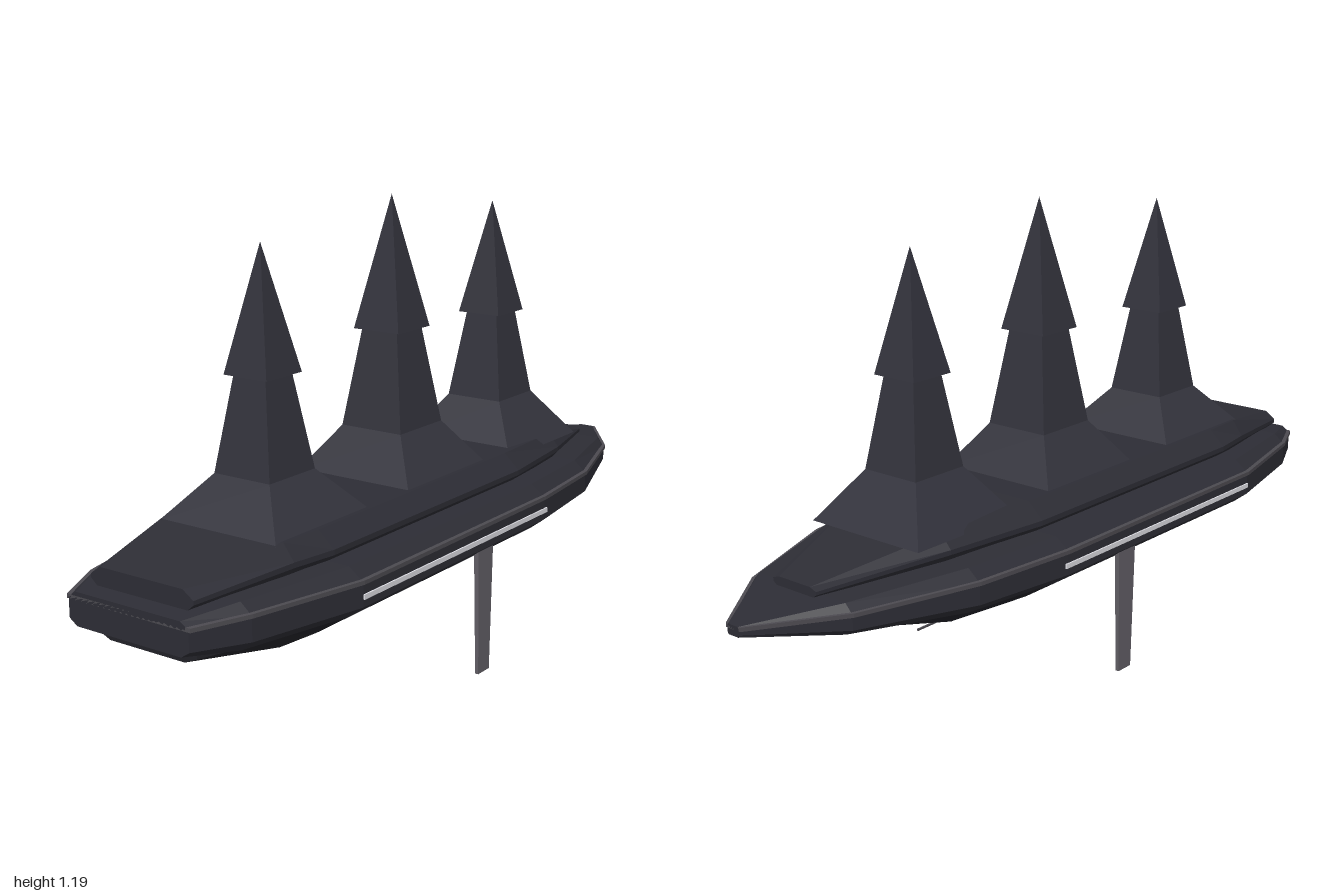
import * as THREE from 'three';

const mat = (name, color) => {
  const m = new THREE.MeshStandardMaterial({ color });
  m.name = name;
  m.flatShading = true;
  return m;
};

// Solid skinned along x. Each station is [x, half profile from top to bottom as [z, y]], mirrored in z.
function loft(stations) {
  const rings = stations.map(([x, half]) => [
    ...half.map(([z, y]) => [x, y, z]),
    ...half.slice().reverse().map(([z, y]) => [x, y, -z]),
  ]);
  const pos = [];
  const tri = (a, b, c) => pos.push(...a, ...b, ...c);
  const n = rings[0].length;
  for (let i = 0; i < rings.length - 1; i++) {
    for (let j = 0; j < n; j++) {
      const k = (j + 1) % n, p = rings[i], q = rings[i + 1];
      tri(p[j], p[k], q[k]);
      tri(p[j], q[k], q[j]);
    }
  }
  const first = rings[0], last = rings[rings.length - 1];
  for (let j = 1; j < n - 1; j++) {
    tri(first[0], first[j + 1], first[j]);
    tri(last[0], last[j], last[j + 1]);
  }
  const g = new THREE.BufferGeometry();
  g.setAttribute('position', new THREE.Float32BufferAttribute(pos, 3));
  g.computeVertexNormals();
  return g;
}

// Square frustum with flat sides facing the axes, given by half widths
function frustum(bottom, top, y0, y1) {
  const g = new THREE.CylinderGeometry(top * Math.SQRT2, bottom * Math.SQRT2, y1 - y0, 4);
  g.rotateY(Math.PI / 4);
  g.translate(0, (y0 + y1) / 2, 0);
  return g;
}

export function createModel() {
  const model = new THREE.Group();
  const hullMat = mat('hull charcoal', 0x2d2d35);
  const towerMat = mat('tower slate', 0x33333c);
  const keelMat = mat('keel black', 0x222228);
  const trimMat = mat('rim grey', 0x4c4a50);
  const finMat = mat('fin grey', 0x625f66);
  const lightMat = mat('light strip', 0xdcdce2);
  const add = (name, geo, material, parent = model) => {
    const m = new THREE.Mesh(geo, material);
    m.name = name;
    parent.add(m);
    return m;
  };

  // Main hull: x, half width, top y, upper edge y, lower edge y, bottom y
  const outline = [
    [-1, 0.175, 0.41, 0.395, 0.345, 0.33],
    [-0.87, 0.235, 0.425, 0.4, 0.34, 0.315],
    [-0.57, 0.303, 0.43, 0.4, 0.34, 0.31],
    [0.22, 0.303, 0.43, 0.4, 0.34, 0.31],
    [0.5, 0.268, 0.425, 0.396, 0.342, 0.315],
    [0.8, 0.162, 0.41, 0.387, 0.35, 0.335],
    [1, 0.018, 0.385, 0.38, 0.365, 0.36],
  ];
  add('hull', loft(outline.map(([x, s, t, a, b, u]) =>
    [x, [[s * 0.87, t], [s, a], [s, b], [s * 0.87, u]]])), hullMat);

  // Thin rim around the hull edge
  add('rim', loft(outline.map(([x, s, , a]) =>
    [x, [[s + 0.005, a + 0.005], [s + 0.005, a - 0.005]]])), trimMat);

  // Raised upper deck
  add('upperDeck', loft([
    [-0.955, [[0.12, 0.46], [0.15, 0.44], [0.15, 0.43], [0.12, 0.405]]],
    [-0.69, [[0.175, 0.5], [0.205, 0.46], [0.205, 0.447], [0.17, 0.41]]],
    [-0.57, [[0.18, 0.5], [0.223, 0.46], [0.223, 0.447], [0.18, 0.41]]],
    [0.22, [[0.18, 0.5], [0.223, 0.46], [0.223, 0.447], [0.18, 0.41]]],
    [0.5, [[0.15, 0.49], [0.18, 0.455], [0.18, 0.443], [0.15, 0.41]]],
    [0.82, [[0.05, 0.43], [0.07, 0.423], [0.07, 0.415], [0.05, 0.4]]],
  ]), hullMat);

  // Lower keel block
  add('keel', loft([
    [-0.945, [[0.12, 0.34], [0.145, 0.315], [0.145, 0.305], [0.11, 0.29]]],
    [-0.69, [[0.17, 0.33], [0.195, 0.302], [0.195, 0.29], [0.16, 0.252]]],
    [-0.57, [[0.18, 0.33], [0.212, 0.302], [0.212, 0.288], [0.17, 0.25]]],
    [0.22, [[0.18, 0.33], [0.212, 0.302], [0.212, 0.288], [0.17, 0.25]]],
    [0.46, [[0.15, 0.33], [0.18, 0.305], [0.18, 0.292], [0.14, 0.254]]],
    [0.77, [[0.05, 0.345], [0.07, 0.33], [0.07, 0.322], [0.05, 0.31]]],
  ]), keelMat);

  // Three spired towers: x, base y, shoulder half width and y, neck half width, cap half width, cap y, tip y
  const towers = [
    ['rearTower', -0.54, 0.495, 0.082, 0.6, 0.047, 0.063, 0.83, 1.13],
    ['middleTower', -0.037, 0.495, 0.09, 0.61, 0.053, 0.068, 0.857, 1.19],
    ['frontTower', 0.428, 0.475, 0.082, 0.6, 0.047, 0.063, 0.83, 1.13],
  ];
  for (const [name, x, y0, sh, sy, neck, cap, cy, tip] of towers) {
    const tower = new THREE.Group();
    tower.name = name;
    tower.position.x = x;
    add('towerFoot', frustum(0.172, sh, y0, sy), towerMat, tower);
    add('towerShaft', frustum(sh, neck, sy, cy), towerMat, tower);
    add('towerSpire', frustum(cap, 0, cy, tip), towerMat, tower);
    model.add(tower);
  }

  // Mirrored fins, side light strips and belly lines
  for (const [side, s] of [['left', 1], ['right', -1]]) {
    const fin = new THREE.CylinderGeometry(0.034 * Math.SQRT2, 0.025 * Math.SQRT2, 0.335, 4);
    fin.rotateY(Math.PI / 4);
    fin.scale(1, 1, 0.19);
    fin.translate(-0.038, 0.1675, s * 0.281);
    add(side + 'Fin', fin, finMat);

    const strip = new THREE.BoxGeometry(0.8, 0.012, 0.006);
    strip.translate(-0.17, 0.365, s * 0.304);
    add(side + 'LightStrip', strip, lightMat);

    const line = new THREE.BoxGeometry(1.24, 0.004, 0.005);
    line.translate(-0.08, 0.25, s * 0.107);
    add(side + 'BellyLine', line, trimMat);
  }
  return model;
}
